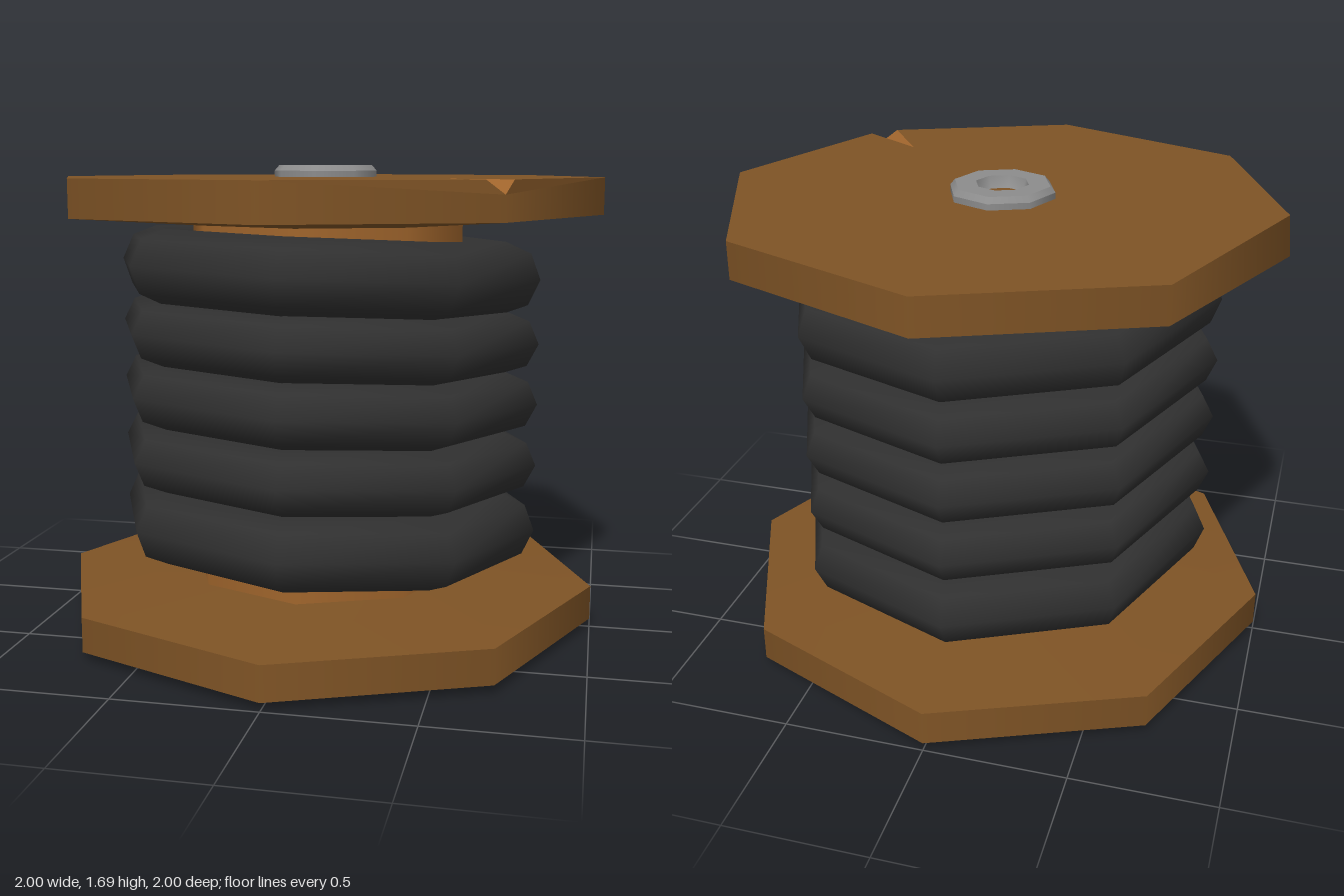
import * as THREE from 'three';

const SIDES = 8;
const mat = (name, color, side = THREE.FrontSide) => {
  const m = new THREE.MeshStandardMaterial({ color, side });
  m.name = name;
  return m;
};

export function createModel() {
  const wood = mat('dark wood', 0x7e5325);
  const paleWood = mat('pale wood', 0xa0652c);
  const rubber = mat('black cable', 0x303030);
  const metal = mat('grey metal', 0x8c8c8c);

  const model = new THREE.Group();
  model.name = 'cableSpool';
  const add = (parent, name, geometry, material, y = 0) => {
    const mesh = new THREE.Mesh(geometry, material);
    mesh.name = name;
    mesh.position.y = y;
    parent.add(mesh);
    return mesh;
  };
  const group = (name) => {
    const g = new THREE.Group();
    g.name = name;
    model.add(g);
    return g;
  };
  const triangles = (points) => {
    const g = new THREE.BufferGeometry();
    g.setAttribute('position', new THREE.Float32BufferAttribute(points.flat(), 3));
    g.computeVertexNormals();
    return g;
  };

  // Core drum
  add(model, 'core', new THREE.CylinderGeometry(0.505, 0.505, 1.31, SIDES), paleWood, 0.83);

  // Lower flange: flat disc with a shallow raised hub
  const lower = group('lowerFlange');
  add(lower, 'lowerDisc', new THREE.CylinderGeometry(1, 1, 0.125, SIDES), wood, 0.0925);
  add(lower, 'lowerHub', new THREE.CylinderGeometry(0.5, 1, 0.03, SIDES), wood, 0.17);

  // Upper flange: rim with one worn corner and one notched corner
  const upper = group('upperFlange');
  const topY = 1.645, rimY = 1.515, notchY = 1.6;
  const c = Math.SQRT1_2;
  const rim = new THREE.CylinderGeometry(1, 1, topY - rimY, SIDES, 1, true);
  rim.translate(0, (topY + rimY) / 2, 0);
  const worn = [-0.985, 0.035];
  rim.attributes.position.setXYZ(6, worn[0], topY, worn[1]);
  rim.attributes.position.setY(1, notchY);
  add(upper, 'upperRim', rim, wood);
  add(upper, 'upperHub', new THREE.CylinderGeometry(1, 0.5, 0.035, SIDES), wood, rimY - 0.0175);

  // Upper face outline, with the notch cut into the front left corner
  const outline = [];
  for (let i = 0; i < SIDES; i++) {
    const a = (i / SIDES) * Math.PI * 2;
    if (i === 1) outline.push([0.65, 0.73], [0.5, 0.5], [0.73, 0.65]);
    else if (i === 6) outline.push(worn);
    else outline.push([Math.sin(a), Math.cos(a)]);
  }
  const face = new THREE.ShapeGeometry(
    new THREE.Shape(outline.map(([x, z]) => new THREE.Vector2(x, -z))));
  face.rotateX(-Math.PI / 2);
  add(upper, 'upperFace', face, wood, topY);

  // Rim pieces beside the notch, then the notch walls
  const left = [0.73, topY, 0.65], right = [0.65, topY, 0.73];
  const apex = [0.5, topY, 0.5], low = [c, notchY, c];
  add(upper, 'notchRim', triangles([
    [1, topY, 0], left, low,
    low, right, [0, topY, 1],
  ]), wood);
  add(upper, 'notchWalls', triangles([apex, low, left, apex, right, low]), paleWood);

  // Slightly tilted coils of cable; the end coils are fuller
  const cable = group('cable');
  [0.385, 0.63, 0.857, 1.078, 1.31].forEach((y, i) => {
    const coil = new THREE.TorusGeometry(0.657, 0.13, SIDES, SIDES);
    coil.rotateX(Math.PI / 2);
    coil.scale(1, i % 4 === 0 ? 1 : 0.88, 1);
    const mesh = add(cable, 'coil' + (i + 1), coil, rubber, y);
    mesh.rotation.set(-0.036, 0, -0.036);
  });

  // Axle bolts: chamfered head with a recessed socket
  const lathe = (...points) =>
    new THREE.LatheGeometry(points.map(([r, y]) => new THREE.Vector2(r, y)), SIDES);
  const bolt = (name) => {
    const g = group(name);
    add(g, 'headSide', lathe([0.19, -0.03], [0.19, 0.025]), metal);
    add(g, 'headChamfer', lathe([0.19, 0.025], [0.172, 0.045]), metal);
    add(g, 'headFace', lathe([0.172, 0.045], [0.095, 0.045]), metal);
    add(g, 'socket', lathe([0.095, 0.045], [0.075, -0.01], [0, -0.03]), metal);
    return g;
  };
  bolt('upperBolt').position.y = 1.642;
  const lowerBolt = bolt('lowerBolt');
  lowerBolt.rotation.x = Math.PI;
  lowerBolt.position.y = 0.045;
  // Sockets sink into the discs, so their mouths stay open above each face

  return model;
}
